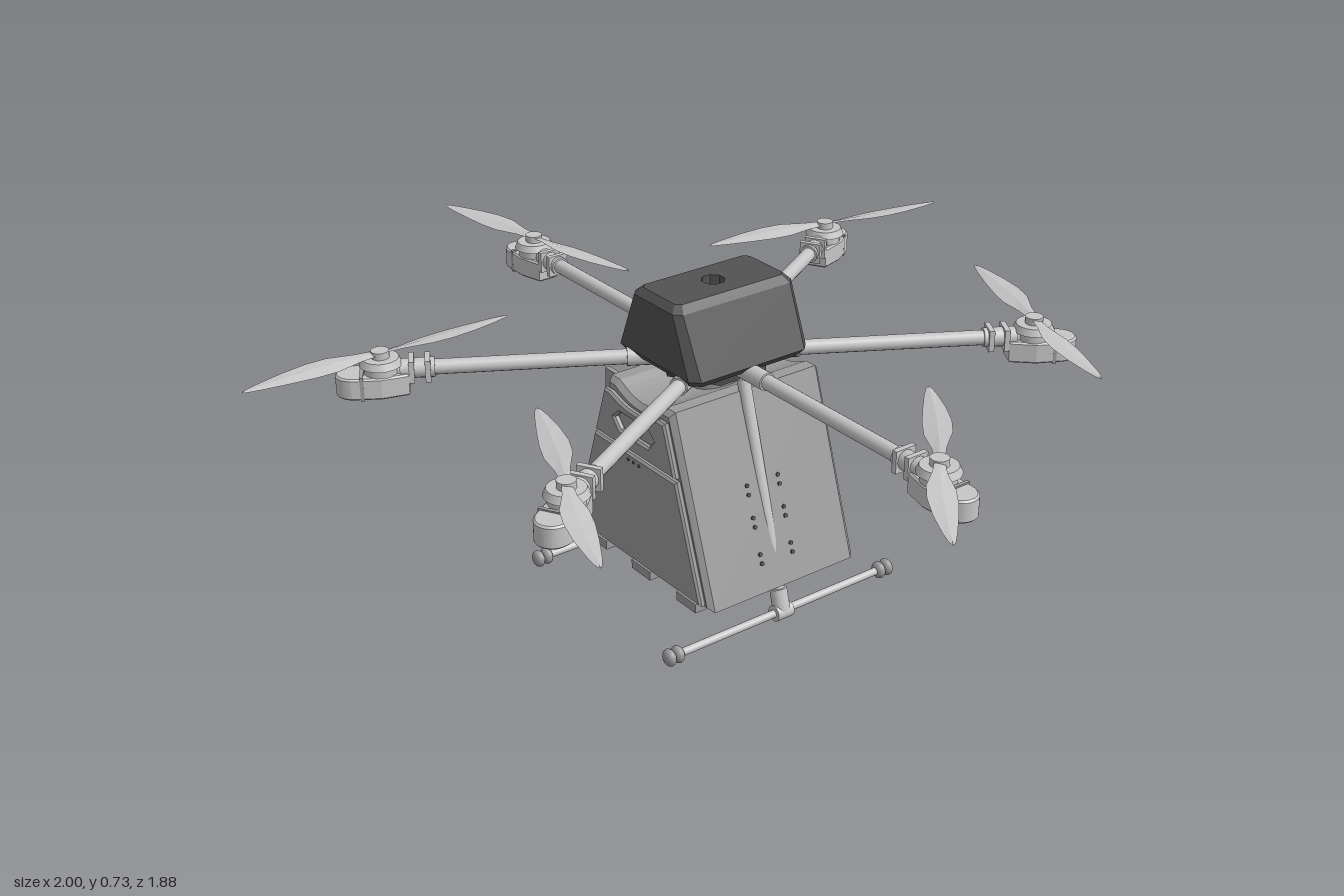
import * as THREE from 'three';

const CX = 0.03, CZ = -0.003; // hub centre

export function createModel() {
  const root = new THREE.Group();
  root.name = 'deliveryDrone';
  const mat = (name, color) => {
    const m = new THREE.MeshStandardMaterial({ color });
    m.name = name;
    return m;
  };
  const light = mat('light grey', 0xc6c6c6);
  const mid = mat('mid grey', 0x9c9c9c);
  const dark = mat('charcoal', 0x525252);

  const add = (parent, name, geo, m, x = 0, y = 0, z = 0) => {
    const mesh = new THREE.Mesh(geo, m);
    mesh.name = name;
    mesh.position.set(x, y, z);
    parent.add(mesh);
    return mesh;
  };
  const box = (w, h, d) => new THREE.BoxGeometry(w, h, d);
  const cyl = (r, h, n = 20, r2 = r) => new THREE.CylinderGeometry(r, r2, h, n);
  const tube = (parent, name, a, b, r, m) => {
    const A = new THREE.Vector3(...a), B = new THREE.Vector3(...b);
    const mesh = add(parent, name, cyl(r, A.distanceTo(B), 16), m);
    mesh.position.copy(A).lerp(B, 0.5);
    mesh.quaternion.setFromUnitVectors(new THREE.Vector3(0, 1, 0), B.sub(A).normalize());
    return mesh;
  };
  // Faceted skin through equal-length rings, optionally capped
  const loft = (rings, capEnd = true) => {
    const p = [], n = rings[0].length;
    const tri = (a, b, c) => p.push(...a, ...b, ...c);
    for (let i = 0; i < rings.length - 1; i++) for (let j = 0; j < n; j++) {
      const k = (j + 1) % n, r = rings[i], s = rings[i + 1];
      tri(r[j], r[k], s[k]);
      tri(r[j], s[k], s[j]);
    }
    const a = rings[0], b = rings[rings.length - 1];
    for (let j = 1; j < n - 1; j++) {
      tri(a[0], a[j + 1], a[j]);
      if (capEnd) tri(b[0], b[j], b[j + 1]);
    }
    const g = new THREE.BufferGeometry();
    g.setAttribute('position', new THREE.Float32BufferAttribute(p, 3));
    g.computeVertexNormals();
    return g;
  };
  const extrude = (shape, depth, bevel) => new THREE.ExtrudeGeometry(shape, {
    depth: depth - 2 * bevel, bevelEnabled: bevel > 0, bevelSize: bevel,
    bevelThickness: bevel, bevelSegments: 1, curveSegments: 10,
  }).translate(0, 0, bevel);

  // Cargo box: tapered sides and a dished top
  const cargo = new THREE.Group();
  cargo.name = 'cargoBox';
  cargo.position.x = CX;
  root.add(cargo);
  const half = y => 0.26 - 0.333 * (y - 0.085);
  const trapezoid = (y0, y1, inset, dip) => {
    const s = new THREE.Shape();
    s.moveTo(-half(y0) + inset, y0);
    s.lineTo(half(y0) - inset, y0);
    s.lineTo(half(y1) - inset, y1);
    if (dip) {
      s.lineTo(half(y1) - inset - 0.02, y1);
      s.quadraticCurveTo(0, y1 - dip, -half(y1) + inset + 0.02, y1);
    }
    s.lineTo(-half(y1) + inset, y1);
    return s;
  };
  add(cargo, 'cargoShell', extrude(trapezoid(0.097, 0.503, 0.012, 0.05), 0.408, 0.012), mid, 0, 0, -0.21);
  add(cargo, 'frontLowerPanel', extrude(trapezoid(0.107, 0.365, 0.018), 0.018, 0.005), mid, 0, 0, 0.196);
  // Upper front panel with the handle opening
  const upper = trapezoid(0.38, 0.488, 0.018, 0.035), grip = new THREE.Path();
  [[-0.08, 0.437], [-0.055, 0.46], [0.055, 0.46], [0.08, 0.437], [0.055, 0.408], [-0.055, 0.408]]
    .forEach(([x, y], i) => (i ? grip.lineTo(x, y) : grip.moveTo(x, y)));
  upper.holes.push(grip);
  add(cargo, 'handlePanel', extrude(upper, 0.018, 0.005), mid, 0, 0, 0.196);
  for (const x of [-0.02, 0, 0.02])
    add(cargo, 'panelScrew', cyl(0.004, 0.006, 8).rotateX(Math.PI / 2), dark, x, 0.355, 0.213);

  // Latches below the box and slots in its floor
  for (const x of [-0.17, 0, 0.17]) {
    add(cargo, 'bottomLatch', box(0.07, 0.022, 0.05), mid, x, 0.076, 0.175);
    for (const z of [-0.13, 0.03]) add(cargo, 'floorSlot', box(0.04, 0.006, 0.012), light, x, 0.083, z);
  }

  // Rows of bolts on both sloped sides
  for (const s of [-1, 1]) for (const z of [-0.043, 0.043])
    for (const y of [0.32, 0.3, 0.25, 0.23, 0.17, 0.15])
      add(cargo, 'sideBolt', cyl(0.005, 0.006, 8), dark, s * half(y), y, z).rotation.z = -s * 1.25;

  // Battery clips on the right side
  for (const y of [0.315, 0.24, 0.165]) for (const z of [-0.05, 0.035]) {
    const clip = add(cargo, 'sideClip', box(0.03, 0.05, 0.055), light, -half(y) - 0.008, y, z);
    clip.rotation.z = -0.32;
    add(clip, 'clipLatch', box(0.012, 0.022, 0.03), mid, -0.016, 0, 0);
  }
  add(cargo, 'sideTab', box(0.075, 0.08, 0.012), mid, -0.187, 0.435, 0.125);

  // Landing gear
  for (const s of [-1, 1]) {
    const gear = new THREE.Group();
    gear.name = s > 0 ? 'leftLandingGear' : 'rightLandingGear';
    gear.position.x = CX;
    root.add(gear);
    tube(gear, 'legStrut', [s * 0.257, 0.022, 0], [s * 0.112, 0.54, 0], 0.015, light);
    tube(gear, 'legSocket', [s * 0.257, 0.024, 0], [s * 0.243, 0.075, 0], 0.02, light);
    tube(gear, 'skidTee', [s * 0.257, 0.022, -0.022], [s * 0.257, 0.022, 0.022], 0.019, light);
    tube(gear, 'skidBar', [s * 0.257, 0.022, -0.31], [s * 0.257, 0.022, 0.31], 0.009, light);
    for (const e of [-1, 1]) for (const z of [0.287, 0.309])
      add(gear, 'footPad', new THREE.SphereGeometry(0.02, 14, 10).scale(1, 1, 0.65), mid, s * 0.257, 0.022, e * z);
  }

  // Canopy: chamfered tapered shell with a well in its top
  const canopy = new THREE.Group();
  canopy.name = 'canopy';
  canopy.position.set(CX, 0, CZ);
  root.add(canopy);
  const octagon = (hx, hz, c, y) => [
    [hx, y, hz - c], [hx, y, c - hz], [hx - c, y, -hz], [c - hx, y, -hz],
    [-hx, y, c - hz], [-hx, y, hz - c], [c - hx, y, hz], [hx - c, y, hz]];
  const circle = (r, y) => Array.from({ length: 8 }, (_, i) => {
    const a = (i - 0.5) * Math.PI / 4;
    return [r * Math.cos(a), y, -r * Math.sin(a)];
  });
  add(canopy, 'canopyShell', loft([
    octagon(0.13, 0.148, 0.02, 0.563), octagon(0.144, 0.16, 0.02, 0.58),
    octagon(0.085, 0.16, 0.016, 0.716), octagon(0.068, 0.145, 0.012, 0.732),
    circle(0.027, 0.732), circle(0.027, 0.68)], false), dark);
  add(canopy, 'wellCap', cyl(0.028, 0.006, 8), light, 0, 0.68, 0);
  add(canopy, 'hubPlate', cyl(0.125, 0.03, 6), dark, 0, 0.552, 0);
  add(canopy, 'hubMount', cyl(0.055, 0.07, 20), mid, 0, 0.505, 0);

  // Arms, motor pods and motors
  const podShape = new THREE.Shape();
  podShape.moveTo(0.665, -0.022);
  podShape.lineTo(0.72, -0.036);
  podShape.lineTo(0.785, -0.034);
  podShape.quadraticCurveTo(0.815, -0.025, 0.815, 0);
  podShape.quadraticCurveTo(0.815, 0.025, 0.785, 0.034);
  podShape.lineTo(0.72, 0.036);
  podShape.lineTo(0.665, 0.022);
  const podGeo = extrude(podShape, 0.05, 0.004).rotateX(-Math.PI / 2);
  for (let i = 0; i < 6; i++) {
    const arm = new THREE.Group();
    arm.name = 'rotorArm' + (i + 1);
    arm.position.set(CX, 0, CZ);
    arm.rotation.y = i * Math.PI / 3;
    root.add(arm);
    tube(arm, 'armTube', [0.06, 0.56, 0], [0.7, 0.56, 0], 0.017, light);
    tube(arm, 'rootCollar', [0.1, 0.56, 0], [0.19, 0.56, 0], 0.021, light);
    tube(arm, 'tipCollar', [0.605, 0.56, 0], [0.68, 0.56, 0], 0.022, light);
    for (const x of [0.62, 0.655]) add(arm, 'collarClamp', box(0.012, 0.05, 0.052), light, x, 0.56, 0);
    add(arm, 'motorPod', podGeo, light, 0, 0.506, 0);
    add(arm, 'podRib', box(0.008, 0.055, 0.078), mid, 0.762, 0.532, 0);
    add(arm, 'motorBase', cyl(0.038, 0.02), light, 0.72, 0.565, 0);
    add(arm, 'motorBell', cyl(0.04, 0.016, 20, 0.047), light, 0.72, 0.582, 0);
    add(arm, 'propellerHub', cyl(0.02, 0.016), light, 0.72, 0.598, 0);
  }

  // Two-bladed propellers, each stopped at its own angle
  const stations = [[0.008, 0.022, 0.2], [0.05, 0.03, 0.2], [0.11, 0.058, 0.16], [0.16, 0.06, 0.13],
    [0.22, 0.048, 0.1], [0.28, 0.028, 0.07], [0.31, 0.014, 0.05], [0.32, 0.004, 0.05]];
  const bladeGeo = loft(stations.map(([r, c, t]) => {
    const cy = Math.sin(t), cz = Math.cos(t), th = 0.0015 + c * 0.025, o = 0.006 * Math.sin(r * 10);
    return [[r, -c / 2 * cy, -c / 2 * cz + o], [r, -th, o], [r, c / 2 * cy, c / 2 * cz + o], [r, th, o]]
      .reverse();
  }));
  [39, 20, 100, -11, 90, 23].forEach((deg, i) => {
    const a = i * Math.PI / 3, prop = new THREE.Group();
    prop.name = 'propeller' + (i + 1);
    prop.position.set(CX + 0.72 * Math.cos(a), 0.6, CZ - 0.72 * Math.sin(a));
    prop.rotation.y = -deg * Math.PI / 180;
    root.add(prop);
    for (const turn of [0, Math.PI]) add(prop, 'blade', bladeGeo, light).rotation.y = turn;
  });
  return root;
}
